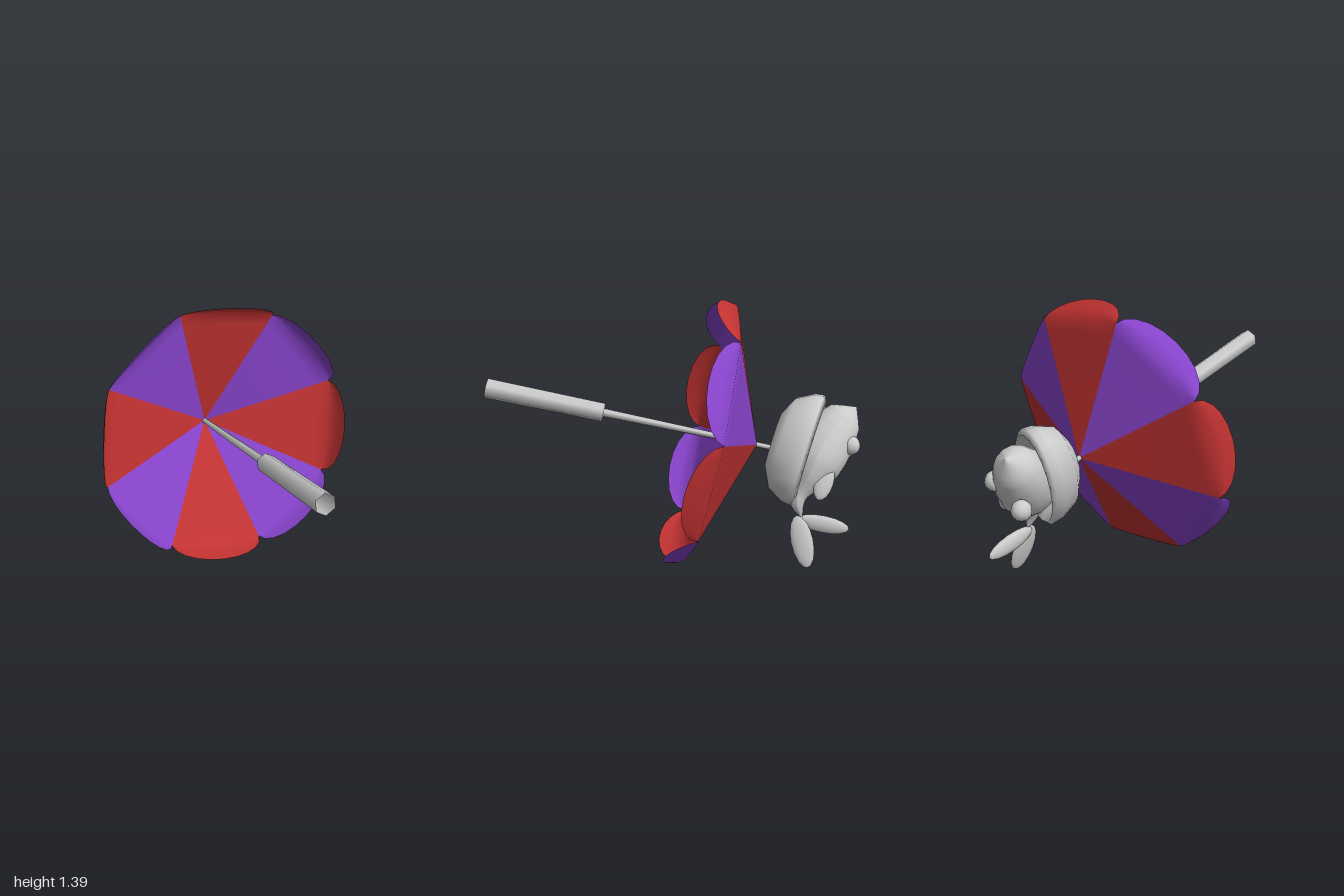
import * as THREE from 'three';

const V = (x, y, z) => new THREE.Vector3(x, y, z);
const mat = (color) => new THREE.MeshStandardMaterial({ color, side: THREE.DoubleSide });
const grey = mat(0xcccccc), red = mat(0xc23232), purple = mat(0x8844cc);

function mesh(geometry, material, name, parent) {
  const m = new THREE.Mesh(geometry, material);
  m.name = name;
  parent.add(m);
  return m;
}

// One canopy wedge: flat between its ribs, then a rounded flap folding down past the chord
function panelGeometry(a0, a1, radius, depth) {
  const n = 10, pos = [], idx = [];
  const p0 = V(Math.cos(a0) * radius, Math.sin(a0) * radius, depth);
  const p1 = V(Math.cos(a1) * radius, Math.sin(a1) * radius, depth);
  const mid = (a0 + a1) / 2, out = V(Math.cos(mid), Math.sin(mid), 0);
  // [share of rib, outward shift, downward shift]
  const rows = [[0, 0, 0], [0.5, 0, 0], [0.92, 0, 0], [1, 0.012, 0], [1, 0.045, 0.06], [1, 0.06, 0.13]];
  for (const [t, o, d] of rows) {
    for (let k = 0; k <= n; k++) {
      const u = Math.PI * k / n, bulge = Math.sin(u);
      const p = p0.clone().lerp(p1, (1 - Math.cos(u)) / 2).multiplyScalar(t);
      p.addScaledVector(out, o * bulge);
      p.z += d * bulge;
      pos.push(p.x, p.y, p.z);
    }
  }
  for (let r = 0; r < rows.length - 1; r++) {
    for (let k = 0; k < n; k++) {
      const a = r * (n + 1) + k, b = a + n + 1;
      if (r > 0) idx.push(a, a + 1, b + 1);
      idx.push(a, b + 1, b);
    }
  }
  const g = new THREE.BufferGeometry();
  g.setAttribute('position', new THREE.Float32BufferAttribute(pos, 3));
  g.setIndex(idx);
  g.computeVertexNormals();
  return g;
}

// Tube whose thickness follows a list of radii along its spine
function taperedTube(points, radii, sides = 14) {
  const curve = new THREE.CatmullRomCurve3(points);
  const steps = 24, g = new THREE.TubeGeometry(curve, steps, 1, sides);
  const p = g.attributes.position, v = V(0, 0, 0);
  for (let i = 0; i < p.count; i++) {
    const t = Math.floor(i / (sides + 1)) / steps;
    const c = curve.getPointAt(t), f = t * (radii.length - 1);
    const j = Math.min(Math.floor(f), radii.length - 2);
    const r = THREE.MathUtils.lerp(radii[j], radii[j + 1], f - j);
    v.fromBufferAttribute(p, i).sub(c).multiplyScalar(r).add(c);
    p.setXYZ(i, v.x, v.y, v.z);
  }
  g.computeVertexNormals();
  return g;
}

// Turns an object so its y runs along yDir and its z faces as near zDir as possible
function orient(object, yDir, zDir) {
  const y = yDir.clone().normalize();
  const x = y.clone().cross(zDir).normalize();
  const z = x.clone().cross(y);
  object.quaternion.setFromRotationMatrix(new THREE.Matrix4().makeBasis(x, y, z));
}

// Flat leaf-shaped fin between two points
function fin(from, to, width, thickness, flat, name, parent) {
  const dir = to.clone().sub(from), len = dir.length();
  const g = new THREE.SphereGeometry(0.5, 12, 8).scale(width, len, thickness);
  const m = mesh(g, grey, name, parent);
  m.position.copy(from).add(to).multiplyScalar(0.5);
  orient(m, dir, flat);
}

export function createModel() {
  const root = new THREE.Group();
  root.name = 'umbrellaWithFish';

  // Umbrella, built along local +z from its tip
  const umbrella = new THREE.Group();
  umbrella.name = 'umbrella';
  umbrella.position.set(-0.05, 0.62, -0.44);
  umbrella.quaternion.setFromUnitVectors(V(0, 0, 1), V(0.16, 0.215, 0.963).normalize());
  root.add(umbrella);

  // Eight alternating canopy panels
  const step = Math.PI / 4, start = Math.PI / 3;
  for (let i = 0; i < 8; i++) {
    const g = panelGeometry(start + i * step, start + (i + 1) * step, 0.7, 0.26);
    mesh(g, i % 2 ? purple : red, 'canopyPanel' + (i + 1), umbrella);
  }

  // Shaft and hollow six-sided handle
  const rod = (r0, r1, z0, z1, open, name) => {
    const g = new THREE.CylinderGeometry(r1, r0, z1 - z0, 6, 1, open);
    g.rotateX(Math.PI / 2).translate(0, 0, (z0 + z1) / 2);
    mesh(g, grey, name, umbrella);
  };
  rod(0.014, 0.024, -0.1, 0.88, false, 'shaft');
  rod(0.052, 0.055, 0.84, 1.47, true, 'handle');

  // Fish sitting behind the canopy
  const fish = new THREE.Group();
  fish.name = 'fish';
  root.add(fish);

  // Scooped collar: a thick oval bowl opening away from the canopy
  const profile = [[0, -0.18], [0.5, -0.17], [0.82, -0.12], [0.98, -0.03], [1, 0.02],
    [0.9, 0.04], [0.78, -0.03], [0.45, -0.1], [0, -0.11]].map(([x, y]) => new THREE.Vector2(x, y));
  const bowl = new THREE.LatheGeometry(profile, 20);
  bowl.rotateX(Math.PI / 2).scale(0.2, 0.31, 1);
  bowl.computeVertexNormals();
  const collar = mesh(bowl, grey, 'collar', fish);
  collar.position.set(-0.075, 0.6, -0.69);
  orient(collar, V(-0.35, 0.9, -0.25), V(0.13, -0.28, -0.95));

  // Body, from the tail stalk up to the blunt head
  const spine = [V(0.06, 0.25, -0.7), V(0.05, 0.35, -0.67), V(0, 0.46, -0.72),
    V(-0.09, 0.6, -0.79), V(-0.16, 0.72, -0.87), V(-0.21, 0.81, -0.96)];
  mesh(taperedTube(spine, [0, 0.035, 0.05, 0.1, 0.14, 0.15, 0.145, 0.13, 0.1, 0]), grey, 'body', fish);

  // Eyes
  [[-0.06, 0.64, -0.935], [-0.25, 0.55, -0.91]].forEach((p, i) => {
    const eye = mesh(new THREE.SphereGeometry(0.052, 10, 8), grey, i ? 'rightEye' : 'leftEye', fish);
    eye.position.set(...p);
  });

  // Forked tail and side fin
  fin(V(0.06, 0.27, -0.67), V(0.13, 0, -0.74), 0.12, 0.04, V(1, 0, 0), 'lowerTailLobe', fish);
  fin(V(0.06, 0.25, -0.67), V(0.02, 0.19, -0.95), 0.1, 0.05, V(1, 0, 0), 'upperTailLobe', fish);
  fin(V(0.03, 0.56, -0.83), V(0.1, 0.38, -0.78), 0.1, 0.04, V(1, 0, 0), 'sideFin', fish);

  return root;
}
